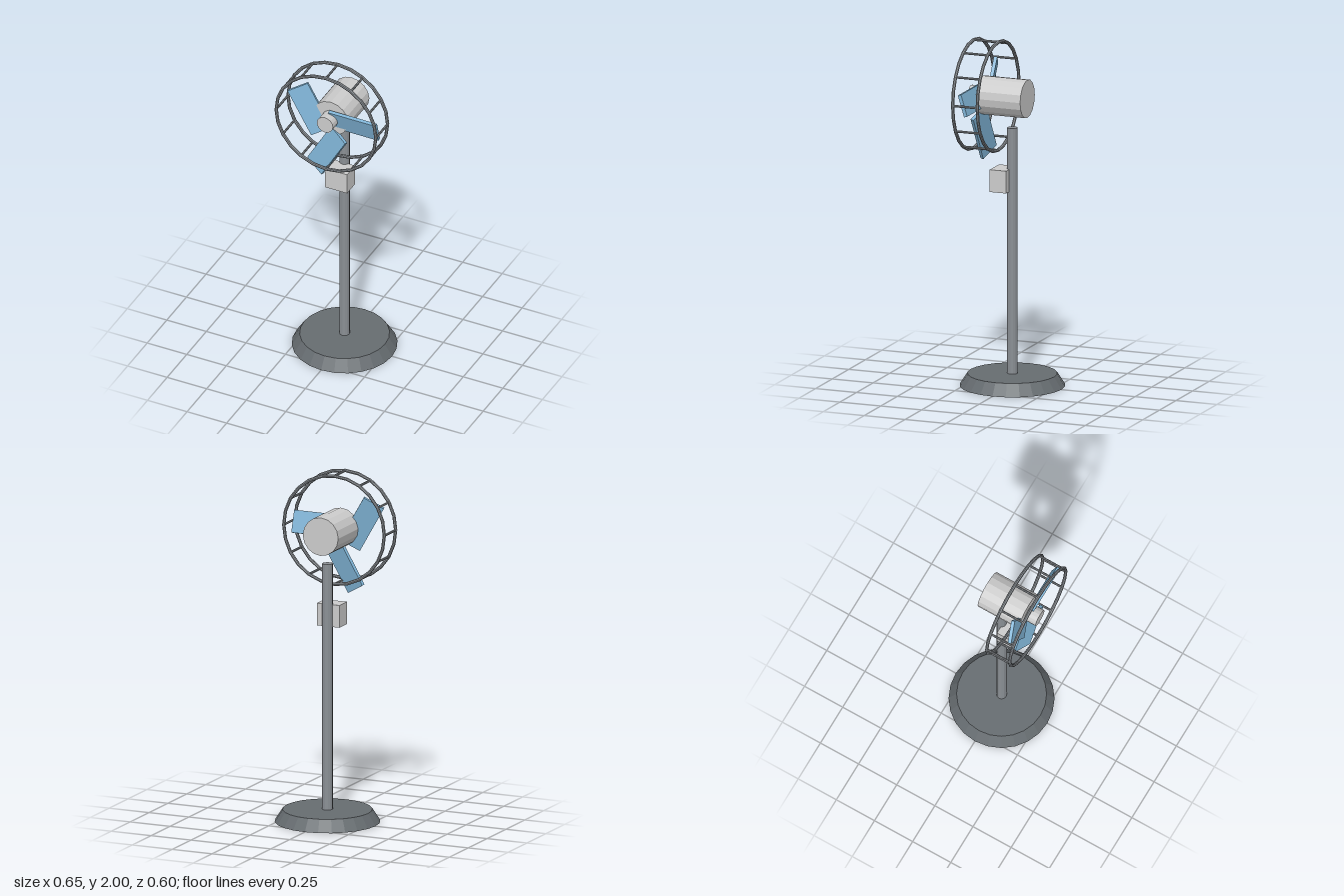
import * as THREE from 'three';

const mat = (color) => new THREE.MeshStandardMaterial({ color, flatShading: true });

export function createModel() {
  const model = new THREE.Group();
  const shell = mat(0xcccccc);
  const iron = mat(0x666c70);
  const steel = mat(0x8a8f94);
  const blue = mat(0x7fb3d5);

  const add = (name, geometry, material, x, y, z, parent = model) => {
    const mesh = new THREE.Mesh(geometry, material);
    mesh.name = name;
    mesh.position.set(x, y, z);
    parent.add(mesh);
    return mesh;
  };
  // Cylinder lying along z between two depths
  const rod = (r, z0, z1, sides) =>
    new THREE.CylinderGeometry(r, r, z1 - z0, sides).rotateX(Math.PI / 2).translate(0, 0, (z0 + z1) / 2);

  // Stand
  add('base', new THREE.CylinderGeometry(0.255, 0.3, 0.07, 24), iron, 0, 0.035, 0);
  add('pole', new THREE.CylinderGeometry(0.03, 0.03, 1.44, 12), steel, 0, 0.78, 0);
  add('controlBox', new THREE.BoxGeometry(0.14, 0.13, 0.1), shell, 0, 1.195, 0.06);

  // Fan head, centred on the blade axis
  const head = new THREE.Group();
  head.name = 'fanHead';
  head.position.y = 1.675;
  model.add(head);
  add('motor', rod(0.111, -0.092, 0.178, 16), shell, 0, 0, 0, head);
  add('hub', rod(0.051, 0.16, 0.252, 16), shell, 0, 0, 0, head);

  // Pitched blades: each has its own centre and a turn of a third of a circle
  const centres = [[0.15, 0], [-0.13, 0.029], [-0.019, -0.223]];
  centres.forEach(([x, y], i) => {
    const blade = add('blade' + (i + 1), new THREE.BoxGeometry(0.3, 0.13, 0.02), blue, x, y, 0.183, head);
    blade.rotation.set(0.3, 0, (i * Math.PI * 2) / 3, 'ZXY');
  });

  // Guard: two rings joined by twelve bars
  const guard = new THREE.Group();
  guard.name = 'guard';
  head.add(guard);
  const ring = new THREE.TorusGeometry(0.315, 0.01, 8, 24);
  add('rearRing', ring, steel, 0, 0, 0.087, guard);
  add('frontRing', ring, steel, 0, 0, 0.237, guard);
  const bar = rod(0.007, 0.087, 0.237, 8);
  for (let i = 0; i < 12; i++) {
    const a = (i * Math.PI) / 6;
    add('guardBar' + (i + 1), bar, steel, 0.315 * Math.cos(a), 0.315 * Math.sin(a), 0, guard);
  }
  return model;
}
